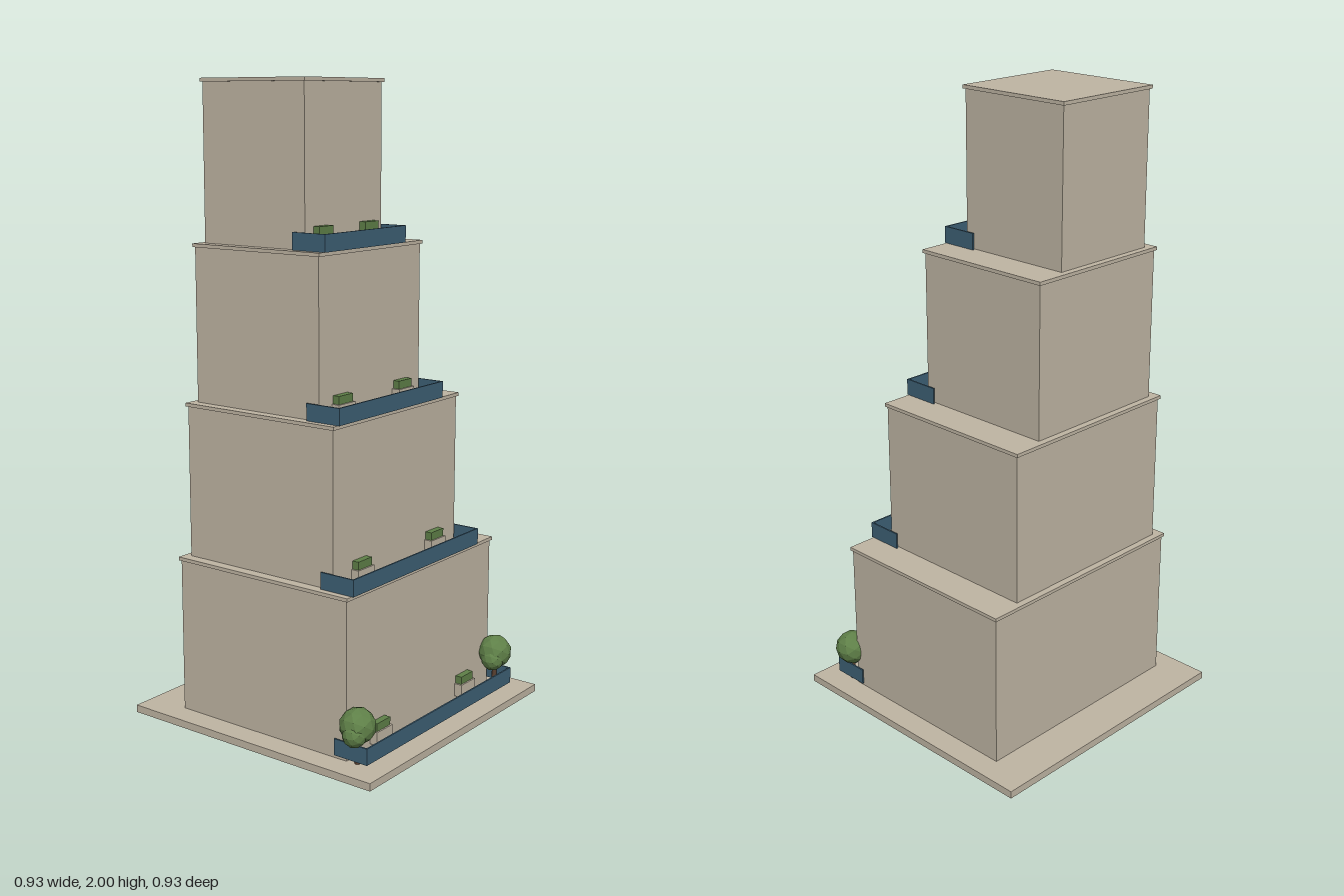
import * as THREE from 'three';

const mat = (name, color) => {
  const m = new THREE.MeshStandardMaterial({ color });
  m.name = name;
  return m;
};

export function createModel() {
  const stone = mat('stone', 0xbfb5a3);
  const railing = mat('blue railing', 0x3d6075);
  const leaf = mat('leaf green', 0x5f8048);
  leaf.flatShading = true;
  const bark = mat('bark', 0x5a4030);

  const model = new THREE.Group();
  model.name = 'terracedTower';

  // Box given by its minimum and maximum on each axis
  const box = (parent, name, material, [x0, x1], [y0, y1], [z0, z1]) => {
    const mesh = new THREE.Mesh(new THREE.BoxGeometry(x1 - x0, y1 - y0, z1 - z0), material);
    mesh.position.set((x0 + x1) / 2, (y0 + y1) / 2, (z0 + z1) / 2);
    mesh.name = name;
    parent.add(mesh);
  };

  box(model, 'basePlate', stone, [-0.466, 0.466], [0, 0.024], [-0.466, 0.466]);

  // Roof slab extents of each tier and the x of its right-hand planter
  const tiers = [
    { floor: 0.038, roof: 0.529, x: [-0.395, 0.394], z: [-0.333, 0.33], planter: 0.231 },
    { floor: 0.529, roof: 1.02, x: [-0.367, 0.288], z: [-0.317, 0.259], planter: 0.152 },
    { floor: 1.02, roof: 1.51, x: [-0.34, 0.18], z: [-0.301, 0.187], planter: 0.071 },
    { floor: 1.51, roof: 2.0, x: [-0.312, 0.073], z: [-0.285, 0.115], planter: -0.009 },
  ];
  const slab = 0.011, inset = 0.006, t = 0.005;

  tiers.forEach(({ floor, roof, x, z, planter }, i) => {
    const tier = new THREE.Group();
    tier.name = `tier${i + 1}`;
    model.add(tier);

    // Block and overhanging roof slab
    box(tier, 'block', stone, [x[0] + inset, x[1] - inset], [i ? floor : 0.024, roof - slab],
      [z[0] + inset, z[1] - inset]);
    box(tier, 'roofSlab', stone, x, [roof - slab, roof], z);

    // Railing on three sides of the front terrace
    const rx = [x[0] - 0.007, x[1] + 0.007], rz = [z[1] - 0.043, z[1] + 0.078];
    const ry = [floor, floor + 0.052];
    box(tier, 'frontRailing', railing, rx, ry, [rz[1] - t, rz[1]]);
    box(tier, 'rightRailing', railing, [rx[0], rx[0] + t], ry, [rz[0], rz[1] - t]);
    box(tier, 'leftRailing', railing, [rx[1] - t, rx[1]], ry, [rz[0], rz[1] - t]);

    // Planters with clipped hedges against the wall
    for (const px of [-0.233, planter]) {
      box(tier, 'planter', stone, [px - 0.04, px + 0.04], [floor, floor + 0.042],
        [z[1] - 0.028, z[1] + 0.021]);
      box(tier, 'hedge', leaf, [px - 0.034, px + 0.034], [floor + 0.042, floor + 0.067],
        [z[1] - 0.022, z[1] + 0.016]);
    }
  });

  // Round trees at the front corners of the ground terrace
  for (const x of [-0.38, 0.38]) {
    const tree = new THREE.Group();
    tree.name = x < 0 ? 'rightTree' : 'leftTree';
    tree.position.set(x, 0.024, 0.358);
    const trunk = new THREE.Mesh(new THREE.CylinderGeometry(0.007, 0.009, 0.09, 7), bark);
    trunk.position.y = 0.045;
    trunk.name = 'trunk';
    tree.add(trunk);
    for (const [cx, cy, cz, r] of [[0, 0.118, 0, 0.056], [-0.026, 0.1, 0.008, 0.038]]) {
      const crown = new THREE.Mesh(new THREE.IcosahedronGeometry(r, 1), leaf);
      crown.position.set(cx, cy, cz);
      crown.name = 'crown';
      tree.add(crown);
    }
    model.add(tree);
  }

  return model;
}
